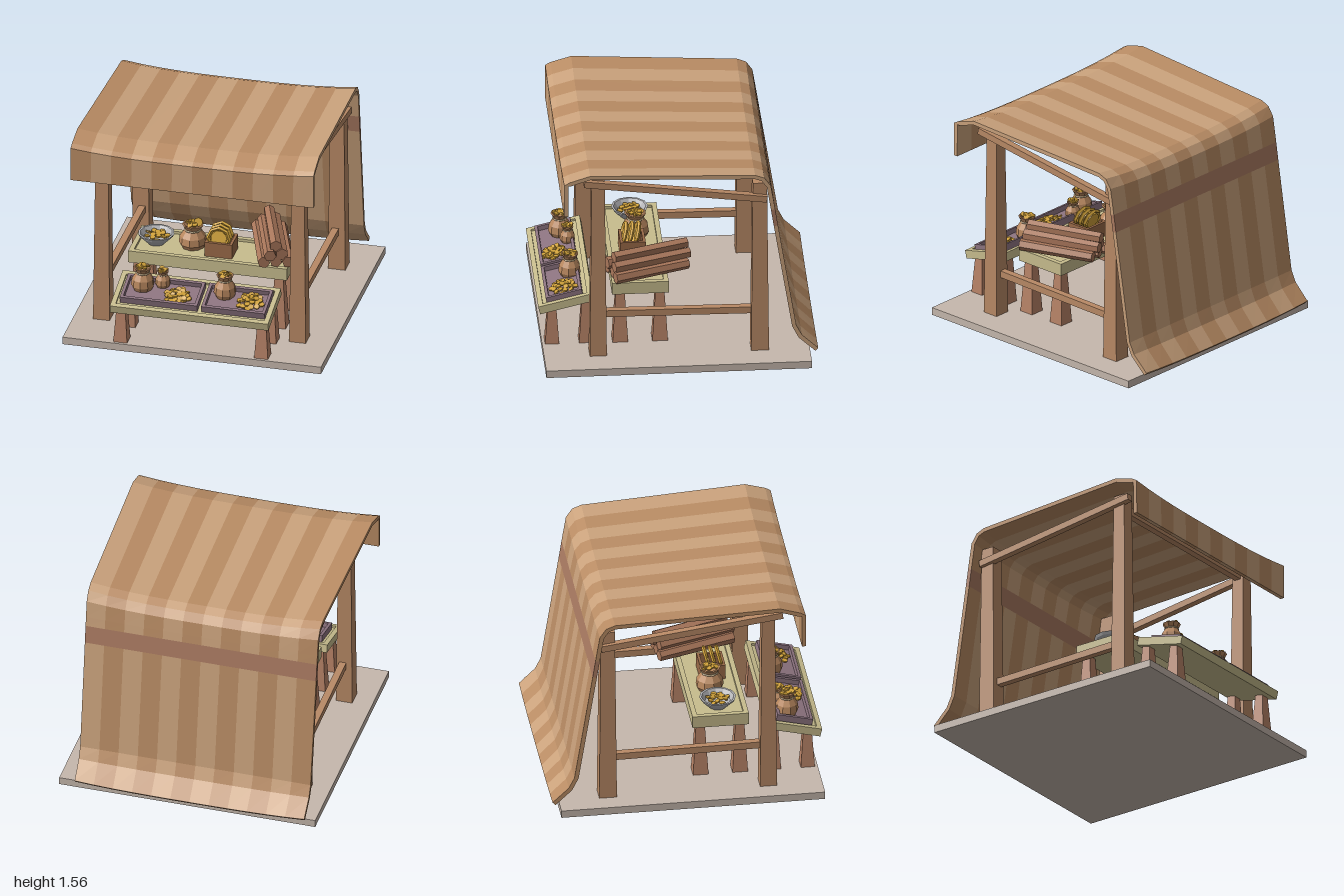
import * as THREE from 'three';

const mat = (color) => new THREE.MeshStandardMaterial({ color, flatShading: true, side: THREE.DoubleSide });
const WOOD = mat(0xb98a66), LEG = mat(0xb98468), BOARD = mat(0xc8bd8e), TRAY = mat(0x8d7480),
  GOLD = mat(0xd1a23a), SACK = mat(0xb9885f), ROPE = mat(0xcbb791), PEWTER = mat(0xb5b5b8),
  STONE = mat(0xc6b8ad), CRATE = mat(0x9a6a48), LOG = mat(0xa8765a),
  CLOTH_DARK = mat(0xb98c64), CLOTH_LIGHT = mat(0xcaa27c), CLOTH_BAND = mat(0xab7b62);

let seed = 7;
const rand = () => (seed = (seed * 16807) % 2147483647) / 2147483647;

function add(parent, name, geo, material, x = 0, y = 0, z = 0, rx = 0, ry = 0, rz = 0) {
  const m = new THREE.Mesh(geo, material);
  m.name = name;
  m.position.set(x, y, z);
  m.rotation.set(rx, ry, rz);
  parent.add(m);
  return m;
}

function group(parent, name, x = 0, y = 0, z = 0) {
  const g = new THREE.Group();
  g.name = name;
  g.position.set(x, y, z);
  parent.add(g);
  return g;
}

const box = (w, h, d) => new THREE.BoxGeometry(w, h, d);

// Square post, wider at the foot, standing from y0 to y1
function taperedPost(parent, name, material, x, z, y0, y1, wBottom, wTop) {
  const geo = new THREE.CylinderGeometry(wTop * Math.SQRT1_2, wBottom * Math.SQRT1_2, y1 - y0, 4);
  geo.rotateY(Math.PI / 4);
  add(parent, name, geo, material, x, (y0 + y1) / 2, z);
}

// Open box with a floor and four raised sides; y = 0 is its underside
function tray(parent, name, material, w, h, d, wall, floor, x = 0, y = 0, z = 0) {
  const g = group(parent, name, x, y, z);
  add(g, name + 'Floor', box(w - wall, floor, d - wall), material, 0, floor / 2, 0);
  for (const s of [-1, 1]) {
    add(g, name + 'LongSide', box(w, h, wall), material, 0, h / 2, s * (d - wall) / 2);
    add(g, name + 'ShortSide', box(wall, h, d - 2 * wall), material, s * (w - wall) / 2, h / 2, 0);
  }
  return g;
}

// Loose heap of coins within radius r
function coins(parent, n, r, height, x, y, z) {
  const g = group(parent, 'coins', x, y, z);
  for (let i = 0; i < n; i++) {
    const a = i * 2.4, q = Math.sqrt((i + 0.4) / n);
    add(g, 'coin', new THREE.CylinderGeometry(0.021, 0.021, 0.01, 7), GOLD,
      Math.cos(a) * q * r, 0.006 + height * (1 - q) + rand() * 0.008, Math.sin(a) * q * r,
      (rand() - 0.5) * 0.8, rand() * 3, (rand() - 0.5) * 0.8);
  }
}

// Tied sack with a flared mouth full of coins
function sack(parent, x, y, z, w, h) {
  const g = group(parent, 'sack', x, y, z);
  const profile = [[0, 0], [0.4, 0], [0.5, 0.18], [0.46, 0.45], [0.3, 0.68], [0.28, 0.74], [0.39, 0.92], [0.33, 0.93], [0.22, 0.82], [0, 0.82]]
    .map(([r, t]) => new THREE.Vector2(r * w, t * h));
  add(g, 'sackBody', new THREE.LatheGeometry(profile, 9), SACK);
  add(g, 'sackTie', new THREE.TorusGeometry(0.29 * w, 0.035 * w, 5, 9), ROPE, 0, 0.71 * h, 0, Math.PI / 2);
  coins(g, 8, 0.24 * w, 0.06 * h, 0, 0.88 * h, 0);
}

// Canopy side profile from the front hem over the roof to the back hem: z, y, middle sag
const PROFILE = [[0.83, 1.24, 0], [0.828, 1.49, 0.035], [0.79, 1.512, 0.038], [0.645, 1.556, 0.04], [-0.52, 1.5, 0.04],
  [-0.585, 1.475, 0.04], [-0.63, 1.41, 0.03], [-0.65, 1.29, 0.01], [-0.661, 1.22, 0], [-0.681, 1.09, 0],
  [-0.81, 0.28, 0], [-0.85, 0.2, 0.01], [-0.965, 0.09, 0.02]];
const INNER = PROFILE.map(([z, y, sag], i) => {
  const a = PROFILE[Math.max(i - 1, 0)], b = PROFILE[Math.min(i + 1, PROFILE.length - 1)];
  const dz = b[0] - a[0], dy = b[1] - a[1], k = 0.03 / Math.hypot(dz, dy);
  return [z - dy * k, y + dz * k, sag];
});

// Closed slab of cloth between profile points i0..i1 and widths uA..uB (-1..1)
function clothStrip(i0, i1, uA, uB) {
  const outer = PROFILE.slice(i0, i1 + 1), inner = INNER.slice(i0, i1 + 1);
  const ring = [...outer, ...inner.slice().reverse()];
  const at = ([z, y, sag], u) => [-0.036 + u * (0.861 + 0.0228 * z), y - sag * (1 - Math.abs(u) ** 3), z];
  const pos = [];
  const quad = (a, b, c, d) => pos.push(...a, ...b, ...c, ...a, ...c, ...d);
  ring.forEach((p, i) => {
    const q = ring[(i + 1) % ring.length];
    quad(at(p, uA), at(p, uB), at(q, uB), at(q, uA));
  });
  for (let i = 0; i < outer.length - 1; i++) {
    quad(at(outer[i], uB), at(inner[i], uB), at(inner[i + 1], uB), at(outer[i + 1], uB));
    quad(at(outer[i], uA), at(outer[i + 1], uA), at(inner[i + 1], uA), at(inner[i], uA));
  }
  const geo = new THREE.BufferGeometry();
  geo.setAttribute('position', new THREE.Float32BufferAttribute(pos, 3));
  geo.computeVertexNormals();
  return geo;
}

export function createModel() {
  const root = new THREE.Group();
  root.name = 'marketStall';
  const stall = group(root, 'stall');
  stall.rotation.y = 0.032;

  add(stall, 'base', box(1.872, 0.055, 1.872), STONE, -0.005, 0.0275, 0.025);

  // Striped canopy with a band across the back
  const canopy = group(stall, 'canopy');
  const N = 12;
  for (let i = 0; i < N; i++) {
    const uA = -1 + 2 * i / N, uB = -1 + 2 * (i + 1) / N, stripe = i % 2 ? CLOTH_LIGHT : CLOTH_DARK;
    add(canopy, 'canopyRoof', clothStrip(0, 8, uA, uB), stripe);
    add(canopy, 'canopyBand', clothStrip(8, 9, uA, uB), CLOTH_BAND);
    add(canopy, 'canopyBack', clothStrip(9, 12, uA, uB), stripe);
  }

  // Posts, side rails, sloping rafters and the front crossbeam
  const frame = group(stall, 'frame', -0.03, 0, 0);
  for (const s of [-1, 1]) {
    taperedPost(frame, 'frontPost', WOOD, s * 0.71, 0.58, 0.055, 1.49, 0.12, 0.09);
    taperedPost(frame, 'backPost', WOOD, s * 0.71, -0.56, 0.055, 1.39, 0.125, 0.1);
    add(frame, 'sideRail', box(0.05, 0.05, 1.08), WOOD, s * 0.7, 0.36, 0.01, -0.012);
    add(frame, 'rafter', box(0.05, 0.048, 1.3), WOOD, s * 0.765, 1.358, 0.035, -0.132);
  }
  add(frame, 'crossbeam', box(1.42, 0.06, 0.05), WOOD, 0, 1.4, 0.58);

  // Rear table
  const rear = group(stall, 'rearTable', -0.014, 0, 0.27);
  tray(rear, 'rearTop', BOARD, 1.15, 0.09, 0.4, 0.035, 0.07, 0, 0.445, 0);
  for (const x of [-0.51, 0.51])
    for (const z of [-0.14, 0.14]) taperedPost(rear, 'rearLeg', LEG, x, z, 0.055, 0.47, 0.11, 0.06);

  // Goods on the rear table: bowl, sack, crate of plates, logs
  const bowl = [[0, 0], [0.06, 0], [0.12, 0.06], [0.13, 0.08], [0.115, 0.08], [0.09, 0.045], [0, 0.03]]
    .map(([r, y]) => new THREE.Vector2(r, y));
  add(rear, 'bowl', new THREE.LatheGeometry(bowl, 12), PEWTER, -0.42, 0.52, 0.0);
  coins(rear, 14, 0.08, 0.02, -0.42, 0.565, 0.0);
  sack(rear, -0.16, 0.515, -0.02, 0.2, 0.19);
  add(rear, 'uprightCoin', new THREE.CylinderGeometry(0.032, 0.032, 0.012, 8), GOLD, -0.12, 0.71, -0.02, 1.3);
  tray(rear, 'crate', CRATE, 0.2, 0.11, 0.18, 0.02, 0.02, 0.055, 0.515, 0.02);
  for (let i = 0; i < 3; i++) {
    const plate = group(rear, 'plate', 0.05, 0.645, 0.07 - i * 0.045);
    plate.rotation.x = -0.25;
    add(plate, 'plateDisc', new THREE.CylinderGeometry(0.06, 0.06, 0.012, 8), GOLD, 0, 0, 0, Math.PI / 2, Math.PI / 8);
    add(plate, 'plateRim', new THREE.TorusGeometry(0.076, 0.014, 4, 8), GOLD, 0, 0, 0.006);
  }
  const logs = group(rear, 'logs', 0.405, 0, -0.07);
  logs.rotation.y = 0.33;
  for (let row = 0; row < 3; row++)
    for (let i = 0; i < 3 - row; i++)
      add(logs, 'log', new THREE.CylinderGeometry(0.044, 0.04, 0.55 + rand() * 0.03, 6), LOG,
        (i - (2 - row) / 2) * 0.086, 0.58 + row * 0.058, (rand() - 0.5) * 0.03, Math.PI / 2, rand() * 0.5);

  // Sloping front display
  const front = group(stall, 'frontTable', -0.019, 0, 0);
  for (const x of [-0.51, 0.51]) {
    taperedPost(front, 'frontLeg', LEG, x, 0.89, 0.055, 0.34, 0.1, 0.06);
    taperedPost(front, 'frontLeg', LEG, x, 0.65, 0.055, 0.4, 0.1, 0.06);
  }
  const display = group(front, 'display', 0, 0.35, 0.786);
  display.rotation.x = 0.236;
  tray(display, 'displayTop', BOARD, 1.146, 0.06, 0.39, 0.035, 0.045);
  tray(display, 'wideTray', TRAY, 0.56, 0.05, 0.26, 0.022, 0.015, -0.235, 0.045, 0);
  tray(display, 'narrowTray', TRAY, 0.46, 0.05, 0.26, 0.022, 0.015, 0.305, 0.045, 0);
  coins(display, 26, 0.09, 0.015, -0.12, 0.06, 0.025);
  coins(display, 24, 0.09, 0.05, 0.4, 0.06, 0);

  // Sacks standing upright in the trays
  sack(front, -0.39, 0.41, 0.765, 0.165, 0.185);
  sack(front, -0.255, 0.425, 0.72, 0.11, 0.13);
  sack(front, 0.2, 0.41, 0.74, 0.16, 0.185);

  return root;
}
